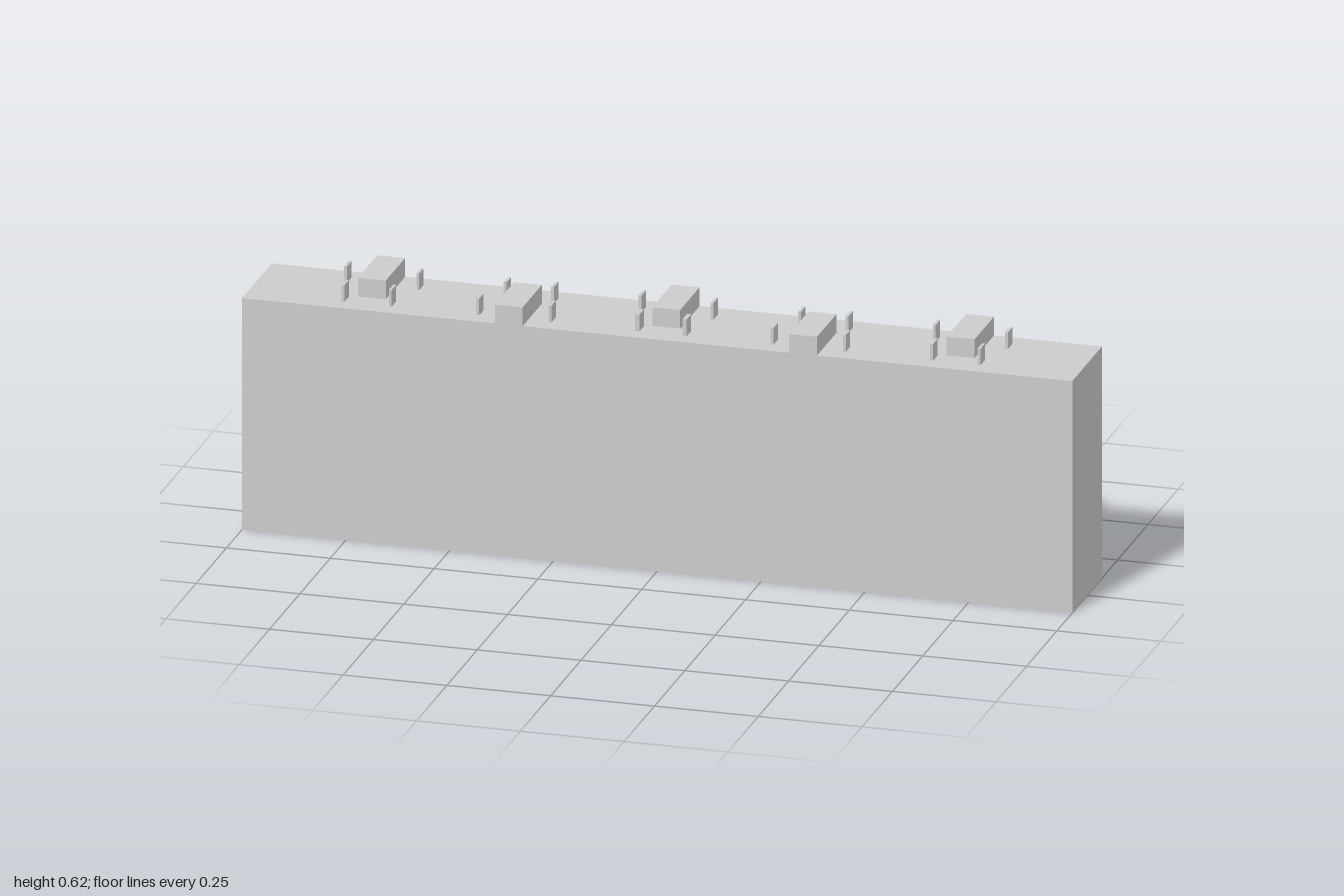
import * as THREE from 'three';

const TOP = 0.57;          // height of the body's top face
const DEPTH = 0.245;       // body depth
const material = new THREE.MeshStandardMaterial({ color: 0xcccccc, flatShading: true, side: THREE.DoubleSide });

// Box standing on y, left open underneath
function openBox(name, w, h, d, x, y, z) {
  const geometry = new THREE.BoxGeometry(w, h, d);
  const index = Array.from(geometry.index.array);
  index.splice(18, 6); // drop the bottom face
  geometry.setIndex(index);
  geometry.clearGroups();
  const mesh = new THREE.Mesh(geometry, material);
  mesh.name = name;
  mesh.position.set(x, y + h / 2, z);
  return mesh;
}

// One key block with its four surrounding pins; side is +1 at the front edge, -1 at the back
function station(x, side, innerPinWidth) {
  const group = new THREE.Group();
  group.name = side > 0 ? 'frontStation' : 'backStation';
  const length = DEPTH / 2 + 0.037;
  group.add(openBox('block', 0.067, 0.046, length, x, TOP, side * (DEPTH - length) / 2));
  for (const s of [-1, 1]) {
    group.add(openBox('outerPin', 0.007, 0.041, 0.037, x + s * 0.087, TOP, side * 0.062));
    group.add(openBox('innerPin', innerPinWidth, 0.041, 0.037, x + s * 0.057, TOP, side * -0.062));
  }
  return group;
}

export function createModel() {
  const model = new THREE.Group();
  model.name = 'pinnedBlock';

  // Hollow body
  model.add(openBox('body', 2, TOP, DEPTH, 0, 0, 0));

  // Five stations alternating between the back and front edges
  for (let i = -2; i <= 2; i++) {
    model.add(station(i * 0.3545 - 0.003, i % 2 === 0 ? -1 : 1, i === 0 ? 0.01 : 0.007));
  }
  return model;
}
